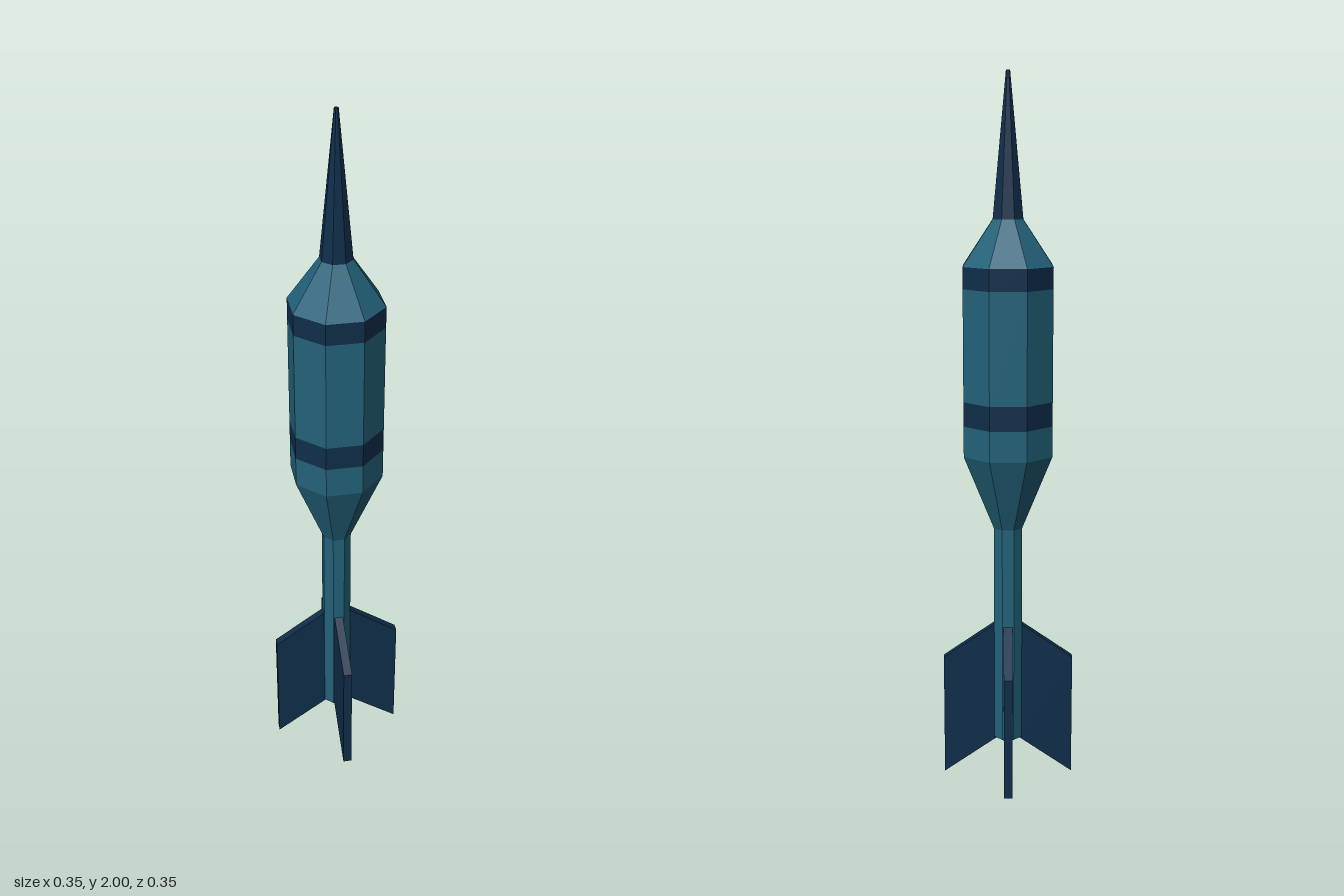
import * as THREE from 'three';

const teal = new THREE.MeshStandardMaterial({ color: 0x23627a, flatShading: true });
const navy = new THREE.MeshStandardMaterial({ color: 0x0f2e4b, flatShading: true });

export function createModel() {
  const model = new THREE.Group();

  // Eight-sided section between two heights, closed only where its end shows
  function section(name, y0, r0, y1, r1, material, open = true) {
    const geometry = new THREE.CylinderGeometry(r1, r0, y1 - y0, 8, 1, open);
    const mesh = new THREE.Mesh(geometry, material);
    mesh.name = name;
    mesh.position.y = (y0 + y1) / 2;
    model.add(mesh);
  }

  // Body, from the tail up
  const R = 0.133, r = 0.043;
  section('tailShaft', 0.11, r, 0.745, r, teal, false);
  section('lowerCone', 0.745, r, 0.96, R, teal);
  section('lowerBody', 0.96, R, 1.047, R, teal);
  section('lowerBand', 1.047, R, 1.115, R, navy);
  section('middleBody', 1.115, R, 1.425, R, teal);
  section('upperBand', 1.425, R, 1.485, R, navy);
  section('shoulder', 1.485, R, 1.61, 0.045, teal);
  section('noseSpike', 1.61, 0.045, 2, 0.006, navy, false);

  // Swept tail fins, centred on the flats of the shaft
  const thickness = 0.025;
  const outline = new THREE.Shape([
    [0.03, 0.108], [0.186, 0], [0.186, 0.355], [0.03, 0.463],
  ].map(([x, y]) => new THREE.Vector2(x, y)));
  const finGeometry = new THREE.ExtrudeGeometry(outline, { depth: thickness, bevelEnabled: false });
  finGeometry.translate(0, 0, -thickness / 2);
  for (let i = 0; i < 4; i++) {
    const fin = new THREE.Mesh(finGeometry, navy);
    fin.name = `tailFin${i + 1}`;
    fin.rotation.y = -Math.PI / 8 + i * Math.PI / 2;
    model.add(fin);
  }

  return model;
}
